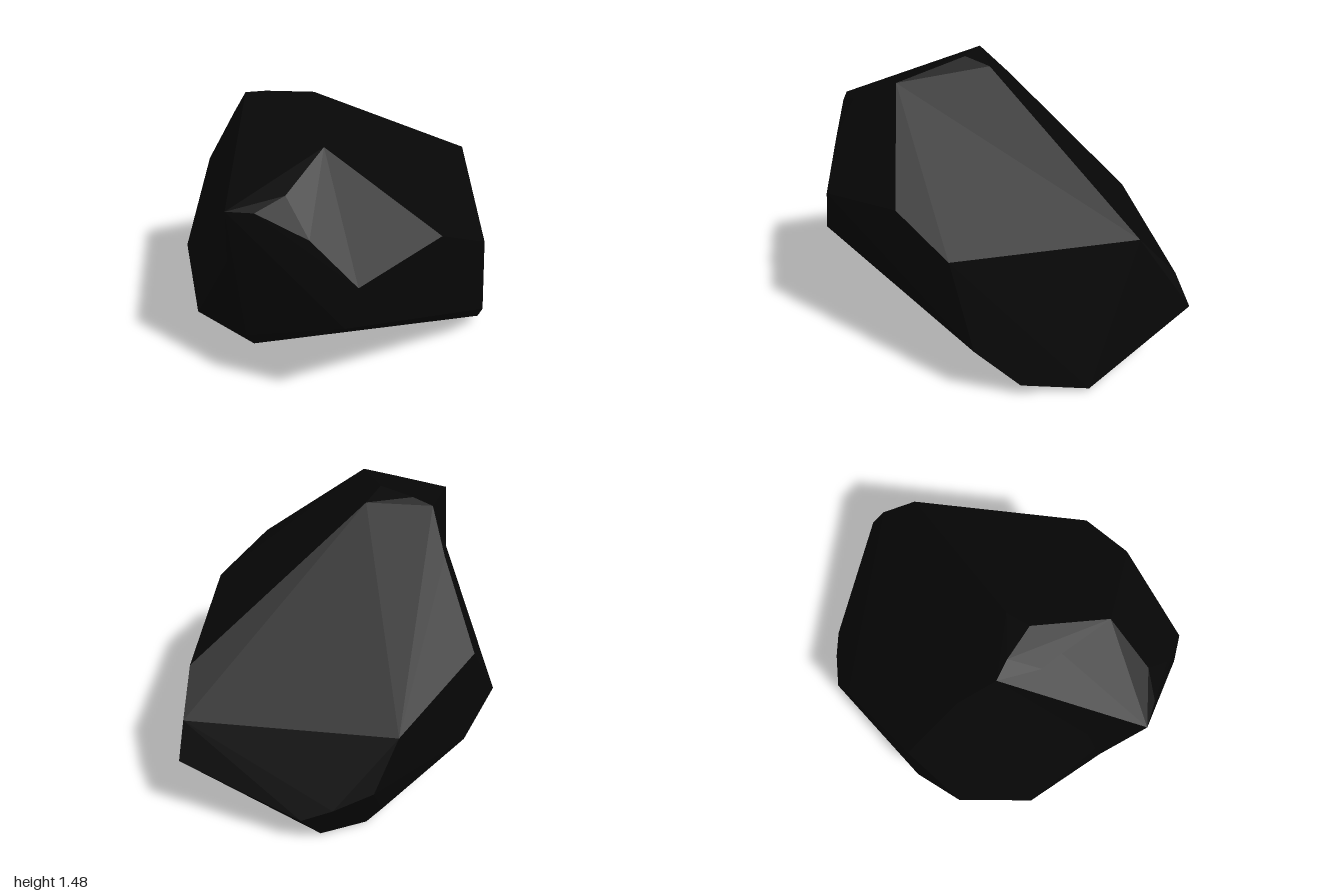
import * as THREE from 'three';
import { ConvexGeometry } from 'three/addons/geometries/ConvexGeometry.js';

const hull = (pts) => new ConvexGeometry(pts.map((p) => new THREE.Vector3(...p)));

// corners shared by the body and the upper right spur
const shoulder = [
  [-0.93, 1.21, 0.23], [-0.8, 1.27, 0.3], [-0.81, 1.1, 0.45], [-0.72, 0.89, 0.66],
  [-0.77, 0.67, 0.62], [-0.53, 1.4, 0.29], [-0.33, 1.48, -0.04], [-0.42, 1.44, -0.32],
  [-0.85, 0.39, 0.05], [-0.86, 0.77, -0.05],
];
// front facets
const front = [
  [-0.22, 0.96, 0.75], [0.1, 0.78, 0.778], [0.2, 0.29, 0.73], [0.38, 0.07, 0.585],
];
// top ridge running down to the left end
const ridge = [
  [-0.2, 1.44, -0.07], [-0.38, 1.465, -0.22], [0.785, 0.8, 0.14], [0.93, 0.6, 0.02], [1, 0.41, -0.02],
];
// back facets
const back = [
  [-0.34, 1.25, -0.49], [-0.28, 0.845, -0.775], [0.24, 0.59, -0.78], [0.39, 0.32, -0.77],
  [0.56, 0.24, -0.66], [0.68, 0.185, -0.56], [-0.56, 0.46, -0.69], [-0.785, 0.29, -0.38],
  [-0.28, 0.3, -0.75], [0.27, 0.12, -0.71],
];
// underside
const base = [
  [-0.55, 0.02, -0.22], [0.645, 0.01, 0.355], [0.3, 0, -0.63], [0.55, 0.025, -0.56],
];

export function createModel() {
  const group = new THREE.Group();
  group.name = 'rock';
  const coal = new THREE.MeshStandardMaterial({ color: 0x070707 });
  coal.name = 'coal black';

  const body = new THREE.Mesh(hull([...shoulder, ...front, ...ridge, ...back, ...base]), coal);
  body.name = 'rockBody';

  // pointed corner standing proud of the body
  const spur = new THREE.Mesh(hull([...shoulder, [-1, 1.205, 0.115]]), coal);
  spur.name = 'rockSpur';

  group.add(body, spur);
  return group;
}
